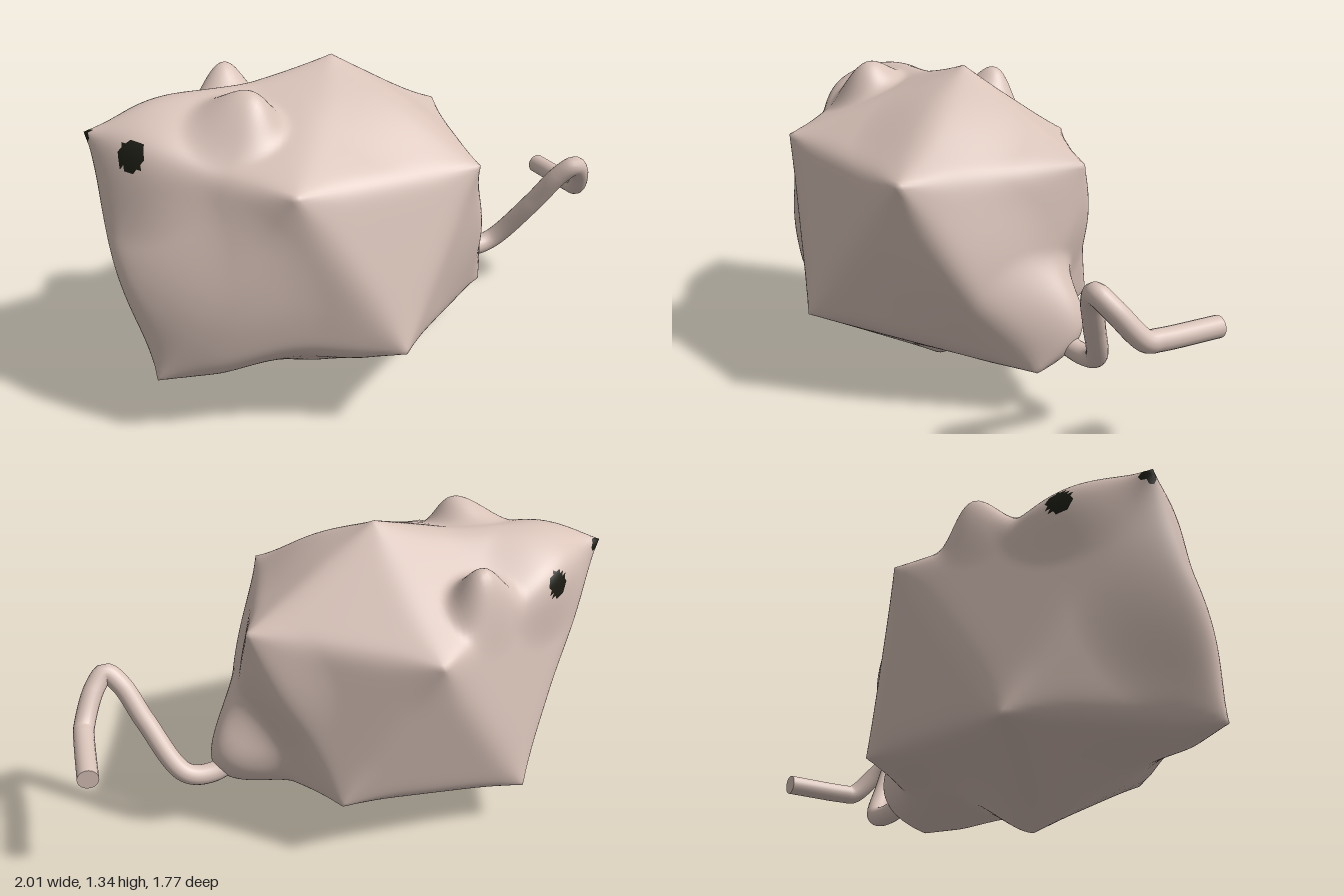
import * as THREE from 'three';
import { mergeVertices } from 'three/addons/utils/BufferGeometryUtils.js';

const V = (x, y, z) => new THREE.Vector3(x, y, z);

// Corners of the faceted body: crown, upper ring (the fourth is the snout), lower ring, underside
const crown = V(-0.12, 1.335, 0.07), base = V(-0.12, 0, 0.2);
const upper = [V(0.5, 0.98, 0.33), V(0.27, 1.0, -0.41), V(-0.53, 0.96, -0.39), V(-1.0, 1.14, 0.56), V(-0.15, 1.03, 0.83)];
const lower = [V(0.5, 0.2, -0.16), V(-0.15, 0.29, -0.48), V(-0.83, 0.2, 0), V(-0.7, 0.25, 0.85), V(0.25, 0.35, 0.73)];

// Swellings, hollows and ears: centre, push, radius, sharpness
const bumps = [
  // rump around the tail
  [V(0.4, 0.36, -0.24), V(0.04, -0.02, -0.16), 0.32, 2],
  [V(0.2, 0.75, -0.41), V(0, 0, -0.03), 0.32, 2],
  [V(0.49, 0.6, 0.08), V(0.03, 0, 0), 0.42, 2],
  // underside
  [V(0.12, 0.12, 0.03), V(-0.01, 0.06, 0), 0.28, 2],
  [V(-0.13, 0.15, -0.14), V(0, 0.03, 0), 0.28, 2],
  [V(-0.4, 0.12, 0.52), V(0, 0.035, 0), 0.3, 2],
  [V(-0.2, 0.3, 0.8), V(0, 0.04, 0), 0.3, 2],
  // snout, cheeks and back
  [V(-0.72, 1.17, 0.42), V(0, 0.05, 0), 0.4, 2],
  [V(-0.75, 1.1, 0.65), V(0, 0.02, 0.05), 0.34, 2],
  [V(-0.84, 1.08, 0.24), V(-0.03, 0.02, -0.02), 0.3, 2],
  [V(-0.85, 0.7, 0.71), V(-0.04, 0, 0.04), 0.48, 2],
  [V(-0.52, 0.55, 0.84), V(0, 0, 0.04), 0.48, 2],
  [V(0.18, 1.18, 0.19), V(0.01, 0.025, 0), 0.38, 2],
  // ears
  [V(-0.42, 1.15, 0.51), V(0.05, 0.135, 0), 0.21, 2.2],
  [V(-0.62, 1.05, -0.05), V(0.01, 0.18, -0.03), 0.2, 2.4],
];

// Dark spots: centre and radius
const spots = [[V(-0.79, 1.1, 0.69), 0.06], [V(-0.87, 1.07, 0.23), 0.055], [V(-0.995, 1.125, 0.56), 0.036]];

function bodyGeometry(n) {
  const faces = [];
  for (let i = 0; i < 5; i++) {
    const j = (i + 1) % 5;
    faces.push([crown, upper[i], upper[j]], [upper[i], lower[i], upper[j]],
      [lower[i], lower[j], upper[j]], [base, lower[j], lower[i]]);
  }
  // Divide each large face into a fine triangular grid
  const coords = [];
  for (const [a, b, c] of faces) {
    const at = (i, j) => coords.push(...[0, 1, 2].map((k) => {
      const p = a.getComponent(k);
      return p + (b.getComponent(k) - p) * i / n + (c.getComponent(k) - p) * j / n;
    }));
    for (let i = 0; i < n; i++) for (let j = 0; j < n - i; j++) {
      at(i, j); at(i + 1, j); at(i, j + 1);
      if (i + j < n - 1) { at(i + 1, j); at(i + 1, j + 1); at(i, j + 1); }
    }
  }
  let geo = new THREE.BufferGeometry();
  geo.setAttribute('position', new THREE.Float32BufferAttribute(coords, 3));
  geo = mergeVertices(geo, 1e-4);
  const pos = geo.attributes.position, index = Array.from(geo.index.array);
  let pts = Array.from({ length: pos.count }, (_, i) => new THREE.Vector3().fromBufferAttribute(pos, i));

  // Round the ridges, but keep the corners pointed
  const near = pts.map(() => new Set());
  for (let t = 0; t < index.length; t += 3) for (let k = 0; k < 3; k++) {
    const a = index[t + k], b = index[t + (k + 1) % 3];
    near[a].add(b); near[b].add(a);
  }
  const corners = [crown, base, ...upper, ...lower];
  const soft = pts.map((p) => THREE.MathUtils.smoothstep(Math.min(...corners.map((c) => c.distanceTo(p))), 0, 0.25));
  for (let pass = 0; pass < 16; pass++) {
    pts = pts.map((p, i) => {
      const mean = V(0, 0, 0);
      near[i].forEach((k) => mean.add(pts[k]));
      return p.clone().lerp(mean.divideScalar(near[i].size), 0.8 * soft[i]);
    });
  }

  // Push out the swellings and ears
  const shaped = pts.map((p) => {
    const q = p.clone();
    for (const [c, push, r, sharp] of bumps) {
      const f = 1 - p.distanceToSquared(c) / (r * r);
      if (f > 0) q.addScaledVector(push, Math.pow(f, sharp));
    }
    return q;
  });
  shaped.forEach((p, i) => pos.setXYZ(i, p.x, p.y, p.z));

  // Sort the triangles into skin and dark spots
  const centres = spots.map(([c, r]) => [shaped.reduce((m, p) => (p.distanceTo(c) < m.distanceTo(c) ? p : m)), r]);
  const skin = [], dark = [];
  for (let t = 0; t < index.length; t += 3) {
    const tri = index.slice(t, t + 3);
    const mid = V(0, 0, 0);
    tri.forEach((k) => mid.addScaledVector(shaped[k], 1 / 3));
    (centres.some(([c, r]) => mid.distanceTo(c) < r) ? dark : skin).push(...tri);
  }
  geo.setIndex([...skin, ...dark]);
  geo.addGroup(0, skin.length, 0);
  geo.addGroup(skin.length, dark.length, 1);
  geo.computeVertexNormals();
  return geo;
}

export function createModel() {
  const pink = new THREE.MeshStandardMaterial({ color: 0xd9c3b9 });
  pink.name = 'dusty pink';
  const black = new THREE.MeshStandardMaterial({ color: 0x1c1c14 });
  black.name = 'eye black';
  const group = new THREE.Group();
  group.name = 'mouse';

  // Body with ears, eyes and nose
  const body = new THREE.Mesh(bodyGeometry(46), [pink, black]);
  body.name = 'body';
  group.add(body);

  // Kinked tail with a flat end
  const path = new THREE.CatmullRomCurve3([
    V(0.36, 0.33, -0.27), V(0.47, 0.27, -0.38), V(0.57, 0.29, -0.44), V(0.75, 0.5, -0.41),
    V(0.86, 0.65, -0.385), V(0.925, 0.7, -0.39), V(0.955, 0.65, -0.45), V(0.955, 0.53, -0.57),
    V(0.93, 0.522, -0.62), V(0.785, 0.51, -0.87),
  ], false, 'centripetal');
  const tail = new THREE.Mesh(new THREE.TubeGeometry(path, 90, 0.044, 20), pink);
  tail.name = 'tail';
  const end = new THREE.Mesh(new THREE.CircleGeometry(0.044, 20), pink);
  end.name = 'tailEnd';
  end.position.copy(path.getPointAt(1));
  end.quaternion.setFromUnitVectors(V(0, 0, 1), path.getTangentAt(1));
  group.add(tail, end);
  return group;
}
